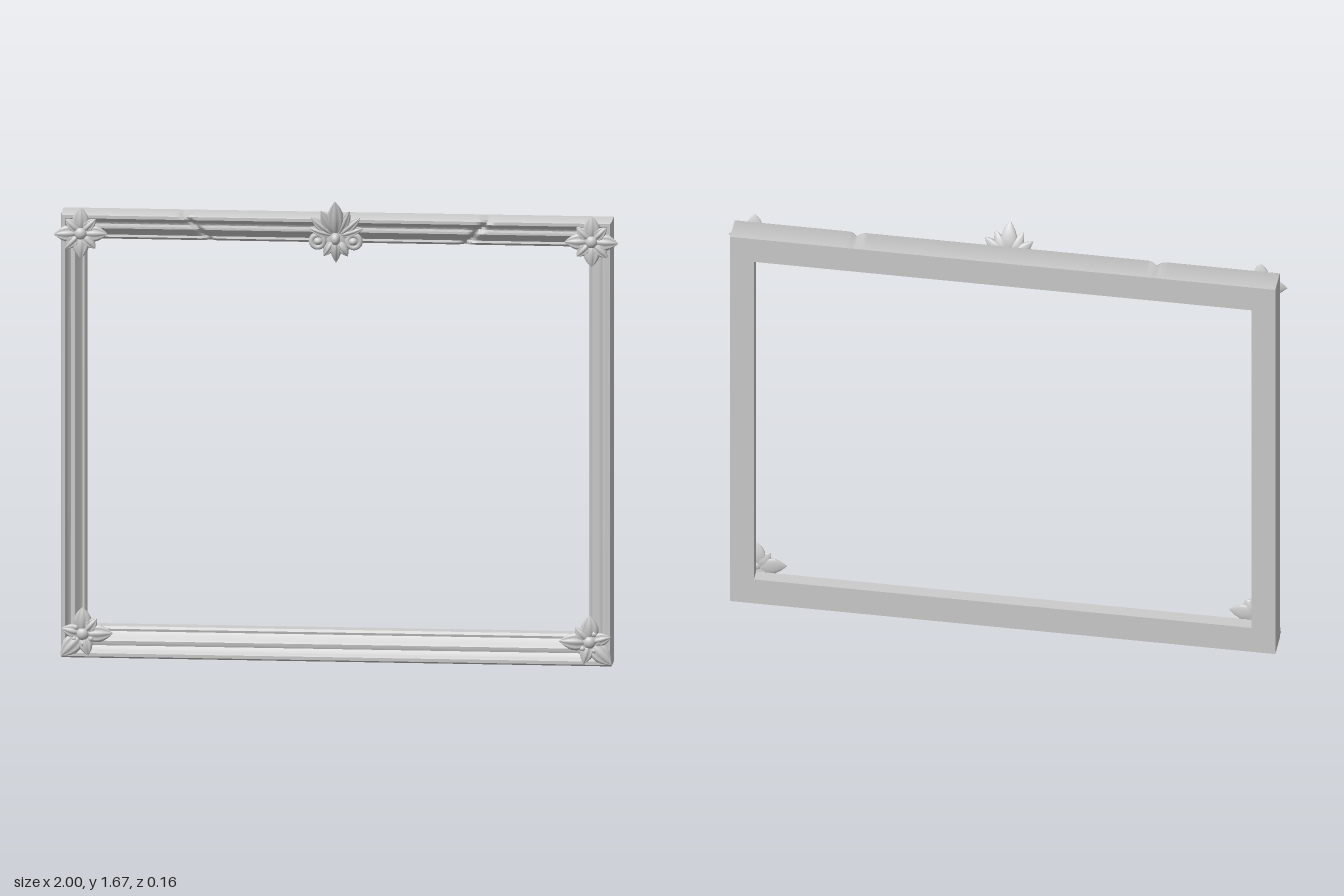
import * as THREE from 'three';
import { toCreasedNormals, mergeVertices } from 'three/addons/utils/BufferGeometryUtils.js';
import { ParametricGeometry } from 'three/addons/geometries/ParametricGeometry.js';

const grey = new THREE.MeshStandardMaterial({ color: 0xcccccc });

function add(parent, name, geometry, x = 0, y = 0, z = 0) {
  const mesh = new THREE.Mesh(geometry, grey);
  mesh.name = name;
  mesh.position.set(x, y, z);
  parent.add(mesh);
  return mesh;
}

// Moulding section: [fraction from outer to inner edge, z]
const section = [
  [0, -0.09], [0, 0.008], [0.06, 0.017], [0.17, 0.017], [0.24, 0.008], [0.3, -0.003],
  [0.4, -0.009], [0.48, -0.006], [0.56, -0.006], [0.64, -0.014], [0.74, -0.028],
  [0.84, -0.036], [0.92, -0.034], [1, -0.042], [1, -0.09], [0, -0.09],
];

// Outer and inner corners, counter-clockwise from lower right of the model
const outer = [[-0.975, 0], [0.975, 0], [0.975, 1.6], [-0.975, 1.6]];
const inner = [[-0.89, 0.105], [0.89, 0.105], [0.89, 1.5], [-0.89, 1.5]];
const lerp = THREE.MathUtils.lerp;

// One mitred rail between two neighbouring corners
function rail(i, cracked) {
  const j = (i + 1) % 4, last = section.length - 1;
  const surface = (u, v, target) => {
    const [s, z] = section[Math.round(v * last)];
    const at = (k, axis) => lerp(outer[k][axis], inner[k][axis], s);
    let x = lerp(at(i, 0), at(j, 0), u), y = lerp(at(i, 1), at(j, 1), u), depth = z;
    if (cracked && z > -0.09) {
      // diagonal cracks across the top moulding
      const d = Math.abs(x) - 0.54 + (1.6 - y) * 0.9;
      const dent = Math.exp(-((d / 0.014) ** 2));
      depth -= 0.016 * dent;
      if (s < 0.1 && z > 0) y -= 0.006 * dent;
    }
    target.set(x, y, depth);
  };
  return toCreasedNormals(new ParametricGeometry(surface, cracked ? 240 : 12, last), 0.6);
}

// Pointed carved leaf growing along +y from its base, curling towards +z
function leaf(length, width, thick, curl = 0, rise = 0.6) {
  const geo = new THREE.SphereGeometry(1, 28, 16);
  const p = geo.attributes.position;
  const peak = rise / (1 + rise), norm = peak ** rise * (1 - peak);
  for (let k = 0; k < p.count; k++) {
    const t = THREE.MathUtils.clamp((1 + p.getY(k)) / 2, 0, 1);
    const a = Math.atan2(p.getZ(k), p.getX(k));
    const w = (t ** rise * (1 - t)) / norm;
    const c = Math.cos(a), front = Math.sin(a) > 0;
    // raised midrib with a groove on each side
    const relief = front ? 1 - 0.4 * Math.exp(-(((Math.abs(c) - 0.4) / 0.16) ** 2)) : 0.5;
    p.setXYZ(k, (c * w * width) / 2, t * length, Math.sin(a) * w * thick * relief + curl * t * t);
  }
  geo.deleteAttribute('uv');
  geo.deleteAttribute('normal');
  const merged = mergeVertices(geo, 1e-6);
  merged.computeVertexNormals();
  return merged;
}

function dome(rx, ry, rz) {
  return new THREE.SphereGeometry(1, 20, 14).scale(rx, ry, rz);
}

// Leafy star; points are [angle, length, width], angle 0 is up, positive turns to +x
function cornerStar(name, x, y, side, points) {
  const star = new THREE.Group();
  star.name = name;
  star.position.set(x * side, y, 0.016);
  for (const [deg, length, width] of points) {
    const angle = (-deg * side * Math.PI) / 180;
    add(star, 'starLeaf', leaf(length, width, 0.017, 0.009, 0.8)).rotation.z = angle;
    for (const s of [-1, 1]) {
      const lobe = add(star, 'starLobe', leaf(length * 0.42, width * 0.5, 0.012, 0.004),
        -Math.sin(angle) * length * 0.34, Math.cos(angle) * length * 0.34);
      lobe.rotation.z = angle + s * 0.75;
    }
    // small bead between neighbouring leaves
    const between = angle + Math.PI / 4;
    add(star, 'starBead', dome(0.011, 0.011, 0.011),
      -Math.sin(between) * 0.034, Math.cos(between) * 0.034, 0.005);
  }
  add(star, 'starBoss', dome(0.022, 0.022, 0.017), 0, 0, 0.008);
  return star;
}

// Central crest with fanned leaves, scrolls and a drop below
function crest() {
  const group = new THREE.Group();
  group.name = 'crest';
  group.position.set(0, 1.53, 0.02);
  add(group, 'crestBack', dome(0.06, 0.05, 0.02));
  add(group, 'crestTopLeaf', leaf(0.125, 0.06, 0.024, 0.036, 0.8), 0, 0.015, 0.016);
  add(group, 'crestDrop', leaf(0.09, 0.042, 0.026, -0.005), 0, 0, 0.01).rotation.z = Math.PI;
  add(group, 'crestBoss', dome(0.017, 0.022, 0.02), 0, 0.0, 0.028);
  for (const s of [-1, 1]) {
    [[0.42, 0.105, 0.04, 0.03], [0.85, 0.105, 0.042, 0.018], [1.25, 0.095, 0.036, 0.008]].forEach(([a, l, w, c]) => {
      add(group, 'crestSideLeaf', leaf(l, w, 0.02, c, 0.9), s * 0.008, 0.008, 0.01).rotation.z = -s * a;
    });
    add(group, 'crestScroll', new THREE.TorusGeometry(0.022, 0.01, 10, 28), s * 0.064, -0.01, 0.015);
    add(group, 'crestScrollEye', dome(0.017, 0.015, 0.018), s * 0.062, -0.01, 0.016);
    add(group, 'crestLowerLeaf', leaf(0.07, 0.036, 0.02, 0.004, 0.9), s * 0.006, -0.005, 0.01).rotation.z = s * (Math.PI + 0.55);
    add(group, 'crestLowerLobe', dome(0.016, 0.013, 0.014), s * 0.03, -0.037, 0.01);
  }
  return group;
}

export function createModel() {
  const model = new THREE.Group();
  model.name = 'ornateFrame';

  ['bottomRail', 'leftRail', 'topRail', 'rightRail'].forEach((name, i) => add(model, name, rail(i, i === 2)));

  const upper = [[0, 0.095, 0.06], [92, 0.095, 0.06], [180, 0.09, 0.06], [270, 0.095, 0.06],
    [45, 0.075, 0.045], [135, 0.08, 0.045], [225, 0.075, 0.045], [315, 0.075, 0.045]];
  const lower = [[0, 0.098, 0.064], [272, 0.108, 0.064], [136, 0.112, 0.066],
    [75, 0.078, 0.05], [195, 0.08, 0.05], [318, 0.075, 0.05]];
  for (const s of [-1, 1]) {
    model.add(cornerStar('upperCornerStar', 0.905, 1.53, s, upper));
    model.add(cornerStar('lowerCornerStar', 0.898, 0.088, s, lower));
  }
  model.add(crest());
  return model;
}
